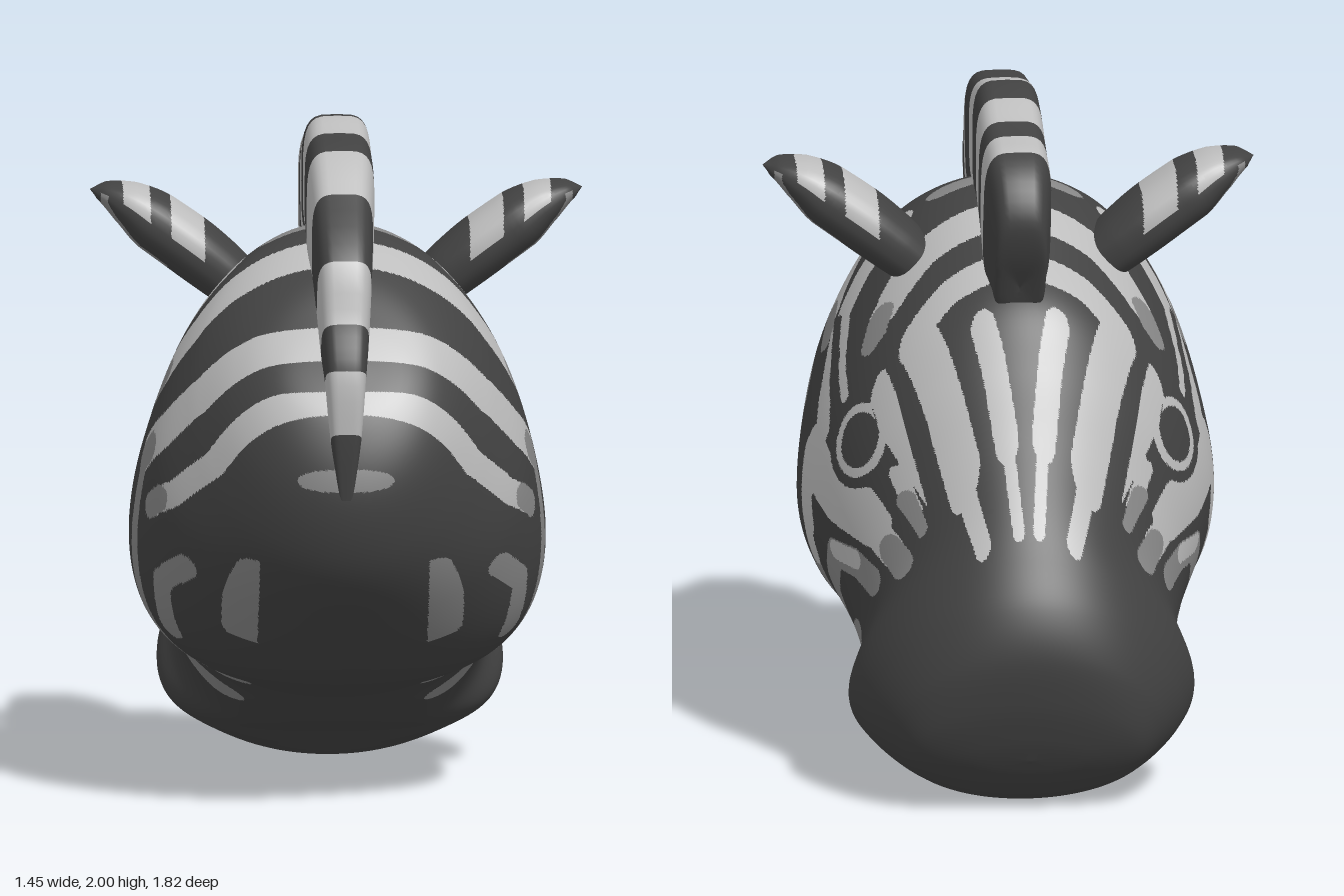
import * as THREE from 'three';

const DARK = 0, LIGHT = 1, MID = 2;

function makeMaterials() {
  return [['charcoal', 0x424242], ['paleGrey', 0xbdbdbd], ['midGrey', 0x888888]].map(([name, color]) => {
    const m = new THREE.MeshStandardMaterial({ color });
    m.name = name;
    return m;
  });
}

// Closed skin over rings; ringPoint(u, angle) gives a point, paint(point, u) a colour index.
// Triangles crossed by a colour edge are split in four, twice, for clean edges.
function skin(name, nu, nv, ringPoint, paint, materials) {
  const pos = [], index = [];
  for (let i = 0; i <= nu; i++)
    for (let j = 0; j < nv; j++) pos.push(...ringPoint(i / nu, (j / nv) * Math.PI * 2).toArray());
  for (let i = 0; i < nu; i++)
    for (let j = 0; j < nv; j++) {
      const a = i * nv + j, b = i * nv + ((j + 1) % nv);
      index.push(a, b, a + nv, b, b + nv, a + nv);
    }
  const base = new THREE.BufferGeometry();
  base.setAttribute('position', new THREE.Float32BufferAttribute(pos, 3));
  base.setIndex(index);
  base.computeVertexNormals();

  const vertex = (k) => ({
    p: new THREE.Vector3().fromBufferAttribute(base.attributes.position, k),
    n: new THREE.Vector3().fromBufferAttribute(base.attributes.normal, k),
    u: Math.floor(k / nv) / nu,
  });
  const mix = (a, b, t) => ({
    p: a.p.clone().lerp(b.p, t), n: a.n.clone().lerp(b.n, t).normalize(), u: a.u + (b.u - a.u) * t,
  });
  const parts = [[], [], []];
  const emit = (a, b, c, depth) => {
    const centre = mix(mix(a, b, 0.5), c, 1 / 3);
    const colour = paint(centre.p, centre.u);
    const crossed = [a, b, c].some((v) => {
      const q = mix(v, centre, 0.1);
      return paint(q.p, q.u) !== colour;
    });
    if (!crossed || depth === 0) return parts[colour].push(a, b, c);
    const ab = mix(a, b, 0.5), bc = mix(b, c, 0.5), ca = mix(c, a, 0.5);
    for (const t of [[a, ab, ca], [ab, b, bc], [ca, bc, c], [ab, bc, ca]]) emit(...t, depth - 1);
  };
  for (let i = 0; i < index.length; i += 3)
    emit(vertex(index[i]), vertex(index[i + 1]), vertex(index[i + 2]), 2);

  const geo = new THREE.BufferGeometry();
  const all = parts.flat();
  geo.setAttribute('position', new THREE.Float32BufferAttribute(all.flatMap((v) => v.p.toArray()), 3));
  geo.setAttribute('normal', new THREE.Float32BufferAttribute(all.flatMap((v) => v.n.toArray()), 3));
  let start = 0;
  parts.forEach((part, m) => {
    if (part.length) geo.addGroup(start, part.length, m);
    start += part.length;
  });
  const mesh = new THREE.Mesh(geo, materials);
  mesh.name = name;
  return mesh;
}

const power = (v, e) => Math.sign(v) * Math.pow(Math.abs(v), e);

// Rings spanning a top and a bottom point: [topZ, topY, bottomZ, bottomY, halfWidth, sag of the widest line]
function spanRings(sections, exponent) {
  const top = new THREE.CatmullRomCurve3(sections.map(([z, y, , , w]) => new THREE.Vector3(w, y, z)));
  const bottom = new THREE.CatmullRomCurve3(
    sections.map(([, , z, y, , sag = 0]) => new THREE.Vector3(sag, y, z)));
  return (u, angle) => {
    const t = top.getPoint(u), b = bottom.getPoint(u);
    const sn = Math.sin(angle), h = power(Math.cos(angle), exponent) - b.x * sn * sn;
    const p = b.clone().lerp(t, (h + 1) / 2);
    p.x = Math.max(t.x, 0) * power(sn, exponent);
    return p;
  };
}

const headSections = [
  [0.73, 1.34, 0.73, 1.34, 0, 0], [0.6, 1.47, 0.83, 1.18, 0.19, 0], [0.45, 1.59, 0.875, 0.98, 0.31, 0],
  [0.2, 1.69, 0.83, 0.77, 0.44, 0.03], [0, 1.66, 0.68, 0.58, 0.55, 0.17], [-0.2, 1.57, 0.42, 0.36, 0.61, 0.28],
  [-0.4, 1.45, 0.2, 0.3, 0.6, 0.26], [-0.52, 1.28, 0.03, 0.26, 0.55, 0.2], [-0.62, 1.1, -0.1, 0.18, 0.49, 0.2],
  [-0.72, 0.92, -0.22, 0.13, 0.465, 0.28], [-0.81, 0.77, -0.33, 0.105, 0.51, 0.4],
  [-0.88, 0.64, -0.43, 0.05, 0.475, 0.3], [-0.91, 0.5, -0.56, 0, 0.4, 0.13],
  [-0.89, 0.36, -0.68, 0.02, 0.32, 0.05], [-0.85, 0.24, -0.77, 0.1, 0.18, 0], [-0.815, 0.165, -0.815, 0.165, 0, 0],
];

const maneSections = [
  [0.875, 0.97, 0.86, 0.98, 0.02], [0.9, 1.17, 0.82, 1.13, 0.045], [0.9, 1.36, 0.765, 1.3, 0.06],
  [0.84, 1.49, 0.705, 1.37, 0.07], [0.785, 1.67, 0.63, 1.475, 0.08], [0.59, 1.84, 0.52, 1.58, 0.09],
  [0.43, 1.945, 0.36, 1.64, 0.1], [0.245, 1.97, 0.22, 1.69, 0.1], [0.1, 2, 0.1, 1.69, 0.1],
  [-0.035, 1.98, -0.035, 1.67, 0.1], [-0.155, 1.94, -0.12, 1.635, 0.1], [-0.25, 1.92, -0.19, 1.6, 0.1],
  [-0.365, 1.9, -0.28, 1.545, 0.1], [-0.455, 1.835, -0.31, 1.51, 0.09], [-0.505, 1.725, -0.35, 1.485, 0.08],
  [-0.48, 1.62, -0.4, 1.465, 0.07], [-0.41, 1.5, -0.41, 1.49, 0],
];

// Painted strokes: [colour, width, points...]; side strokes use (z, y), later ones cover earlier ones.
const neckStripes = [
  [LIGHT, 0.12, 0.72, 1.46, 0.64, 1.38, 0.55, 1.24, 0.43, 1.12, 0.3, 1.03],
  [MID, 0.08, 0.3, 1.03, 0.26, 0.8, 0.245, 0.6, 0.22, 0.42],
  [MID, 0.1, 0.34, 1.05, 0.28, 1.01],
  [LIGHT, 0.08, 0.78, 1.24, 0.67, 1.05, 0.54, 0.945, 0.43, 0.9],
  [MID, 0.08, 0.47, 0.92, 0.41, 0.89],
  [MID, 0.08, 0.92, 1.05, 0.89, 1.03],
  [MID, 0.075, 0.73, 0.74, 0.65, 0.64, 0.57, 0.53],
  [MID, 0.07, 0.55, 0.73, 0.43, 0.67, 0.36, 0.52],
  [LIGHT, 0.13, 0.38, 1.72, 0.36, 1.55, 0.32, 1.4, 0.24, 1.27],
  [MID, 0.1, 0.24, 1.25, 0.19, 1.21],
  [MID, 0.08, 0.16, 1.75, 0.165, 1.66],
  [LIGHT, 0.1, 0.165, 1.54, 0.13, 1.38, 0.1, 1.24, -0.02, 1.08, -0.1, 1],
  [LIGHT, 0.12, -0.06, 1.75, -0.08, 1.5, -0.13, 1.36],
  [MID, 0.1, -0.13, 1.34, -0.17, 1.29],
];
const cheekStripes = [
  [LIGHT, 0.17, -0.06, 0.92, -0.25, 0.84, -0.42, 0.81],
  [LIGHT, 0.1, -0.4, 0.8, -0.52, 0.74], [MID, 0.09, -0.52, 0.74, -0.58, 0.71],
  [LIGHT, 0.13, -0.02, 0.9, -0.03, 0.72],
  [MID, 0.09, -0.02, 0.62, 0, 0.48, 0.01, 0.34], [LIGHT, 0.1, -0.02, 0.75, -0.02, 0.62],
  [MID, 0.09, -0.14, 0.27, -0.16, 0.55, -0.24, 0.66, -0.36, 0.66, -0.46, 0.63],
  [LIGHT, 0.06, -0.24, 0.67, -0.36, 0.67], [MID, 0.09, -0.28, 0.41, -0.34, 0.44],
  [LIGHT, 0.05, -0.48, 0.96, -0.56, 0.87], [MID, 0.06, -0.53, 0.89, -0.59, 0.82],
  [DARK, 0.05, 0.13, 1.26, -0.02, 1.15, -0.2, 1.04], [LIGHT, 0.04, 0.1, 1.31, -0.05, 1.19, -0.18, 1.12],
];
const eyeStrokes = [
  [DARK, 0.28, -0.32, 1.025, -0.32, 1.02], [DARK, 0.035, -0.4, 0.93, -0.6, 0.78],
  [LIGHT, 0.205, -0.32, 1.03, -0.32, 1.015], [DARK, 0.15, -0.32, 1.03, -0.32, 1.015],
];
// Forehead strokes use (|x|, z)
const foreheadStripes = [
  [LIGHT, 0.035, 0.03, -0.76, 0.05, -0.64], [LIGHT, 0.07, 0.055, -0.62, 0.085, -0.5, 0.11, -0.43],
  [LIGHT, 0.045, 0.135, -0.76, 0.17, -0.67], [LIGHT, 0.09, 0.18, -0.63, 0.24, -0.48, 0.3, -0.34],
  [LIGHT, 0.1, 0.3, -0.33, 0.2, -0.29, 0, -0.27],
  [LIGHT, 0.045, 0.3, -0.62, 0.36, -0.47, 0.41, -0.32], [MID, 0.03, 0.26, -0.72, 0.3, -0.62],
];

// Colour of the last stroke covering (a, b), or the colour beneath
function strokeColour(strokes, a, b, under) {
  let colour = under;
  for (const [c, width, ...p] of strokes)
    for (let i = 0; i + 3 < p.length; i += 2) {
      const dx = p[i + 2] - p[i], dy = p[i + 3] - p[i + 1];
      const t = THREE.MathUtils.clamp(((a - p[i]) * dx + (b - p[i + 1]) * dy) / (dx * dx + dy * dy), 0, 1);
      if (Math.hypot(a - p[i] - t * dx, b - p[i + 1] - t * dy) < width / 2) colour = c;
    }
  return colour;
}

function paintHead(p) {
  const x = Math.abs(p.x);
  if (p.z < -0.21 && x < 0.46 && p.y > 1.42 + p.z * 0.9) return strokeColour(foreheadStripes, x, p.z, DARK);
  let c = strokeColour(neckStripes, p.z, p.y, DARK);
  if (x < 0.25 && p.y < 0.95) c = DARK; // plain underside
  else c = strokeColour(cheekStripes, p.z, p.y, c);
  return strokeColour(eyeStrokes, p.z, p.y, c);
}

// Ear rings: [x, y, half thickness, half depth]
function makeEar(materials) {
  const rows = [
    [0.27, 1.475, 0.075, 0.115], [0.335, 1.53, 0.085, 0.132], [0.43, 1.605, 0.09, 0.143],
    [0.535, 1.68, 0.088, 0.14], [0.62, 1.74, 0.062, 0.115], [0.69, 1.772, 0.028, 0.07], [0.725, 1.775, 0, 0],
  ];
  const centre = new THREE.CatmullRomCurve3(rows.map((r) => new THREE.Vector3(r[0], r[1], 0)));
  const size = new THREE.CatmullRomCurve3(rows.map((r) => new THREE.Vector3(r[2], r[3], 0)));
  const ring = (u, angle) => {
    const p = centre.getPoint(u), s = size.getPoint(u);
    const t = Math.max(s.x, 0) * power(Math.cos(angle), 0.8);
    const d = Math.max(s.y, 0) * power(Math.sin(angle), 0.8);
    return new THREE.Vector3(p.x - 0.58 * t, p.y + 0.81 * t, 0.03 + d);
  };
  const paint = (p, u) => {
    const c = centre.getPoint(u), depth = Math.abs(p.z - 0.03);
    const above = -0.58 * (p.x - c.x) + 0.81 * (p.y - c.y) > 0;
    if (above) return (p.x > 0.39 && p.x < 0.49) || (p.x > 0.55 && p.x < 0.63) ? LIGHT : DARK;
    if (p.x < 0.5 || p.x > 0.695 || depth > 0.085) return DARK; // arch inside the ear
    return depth < 0.035 && p.x < 0.63 ? DARK : MID;
  };
  return skin('ear', 30, 32, ring, paint, materials);
}

export function createModel() {
  const model = new THREE.Group();
  model.name = 'stripedAnimalHead';
  const materials = makeMaterials();

  // Head with muzzle
  model.add(skin('head', 120, 144, spanRings(headSections, 1), paintHead, materials));

  // Mane, its root sunk into the head, striped by section
  const rooted = maneSections.map(([zt, yt, zb, yb, w]) =>
    [zt, yt, zb + (zb - zt) * 0.25, yb + (yb - yt) * 0.25, w]);
  const last = maneSections.length - 1;
  const paintMane = (p, u) => {
    const band = Math.floor(u * last);
    return band < 12 && band % 2 === 1 ? LIGHT : DARK;
  };
  model.add(skin('mane', last * 4, 32, spanRings(rooted, 0.5), paintMane, materials));

  // Ears
  for (const side of [1, -1]) {
    const ear = makeEar(materials);
    ear.name = side > 0 ? 'leftEar' : 'rightEar';
    ear.scale.x = side;
    model.add(ear);
  }
  return model;
}
